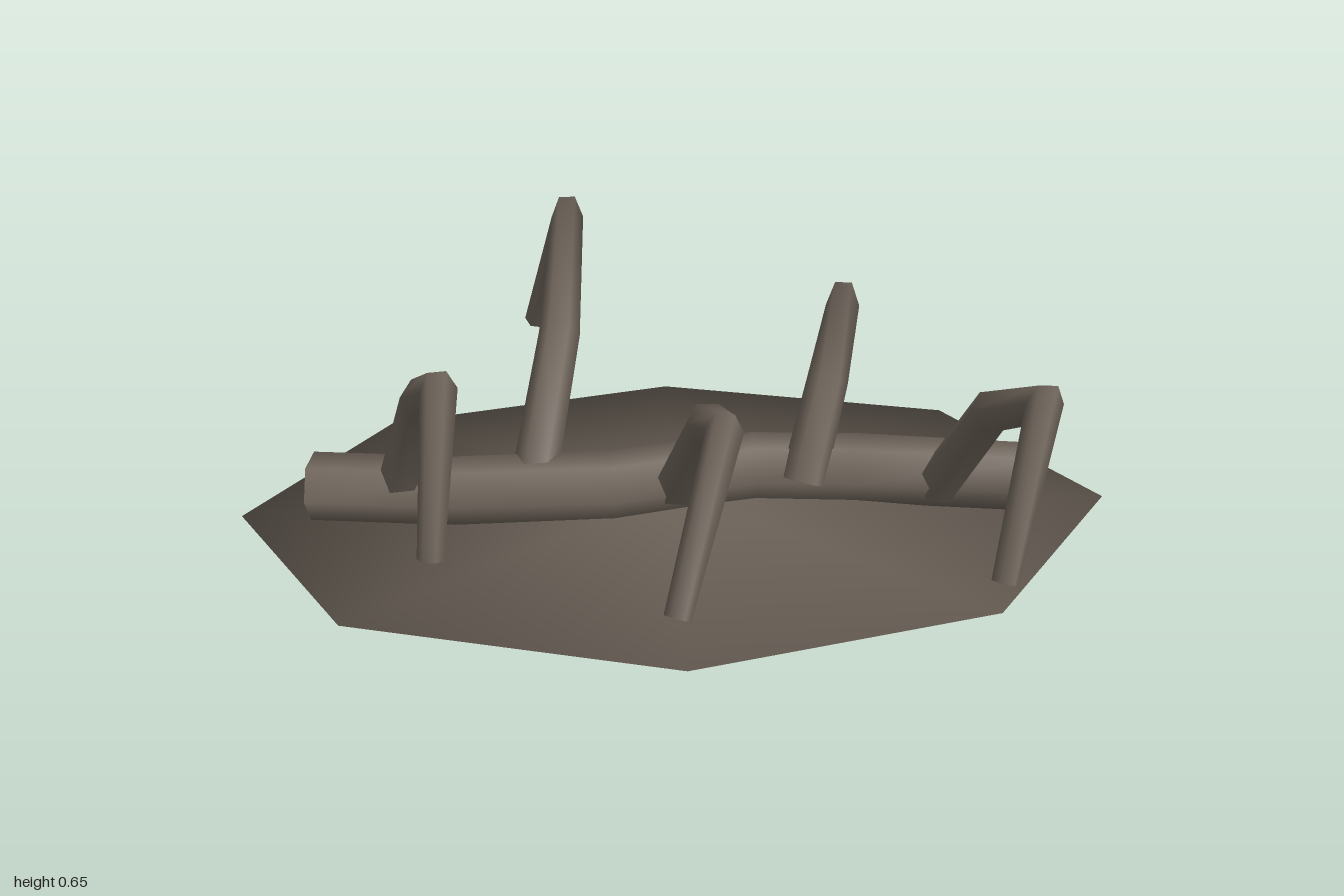
import * as THREE from 'three';

const SIDES = 6;

// Smooth-sided tapered tube along a bent path, with mitred joints and flat end caps.
function limb(points, radii, refAxis) {
  const path = points.map((p) => new THREE.Vector3(...p));
  const n = path.length;
  const rings = path.map((p, i) => {
    const a = path[Math.max(i - 1, 0)], b = path[Math.min(i + 1, n - 1)];
    const before = (i > 0 ? p.clone().sub(a) : b.clone().sub(p)).normalize();
    const after = (i < n - 1 ? b.clone().sub(p) : before.clone()).normalize();
    const t = before.clone().add(after).normalize();
    const u = refAxis.clone().addScaledVector(t, -refAxis.dot(t)).normalize();
    const v = t.clone().cross(u).divideScalar(Math.max(t.dot(before), 0.5));
    return Array.from({ length: SIDES }, (_, j) => {
      const ang = (j / SIDES) * Math.PI * 2;
      return p.clone()
        .addScaledVector(u, Math.cos(ang) * radii[i])
        .addScaledVector(v, Math.sin(ang) * radii[i]);
    });
  });

  const pos = [], idx = [];
  rings.forEach((ring) => ring.forEach((q) => pos.push(q.x, q.y, q.z)));
  for (let i = 0; i < n - 1; i++) {
    for (let j = 0; j < SIDES; j++) {
      const k = (j + 1) % SIDES;
      const a = i * SIDES + j, b = i * SIDES + k;
      idx.push(a, b, a + SIDES, b, b + SIDES, a + SIDES);
    }
  }
  // End caps use their own vertices so their edges stay sharp.
  [[rings[0], true], [rings[n - 1], false]].forEach(([ring, flip]) => {
    const s = pos.length / 3;
    ring.forEach((q) => pos.push(q.x, q.y, q.z));
    for (let j = 1; j < SIDES - 1; j++) {
      if (flip) idx.push(s, s + j + 1, s + j);
      else idx.push(s, s + j, s + j + 1);
    }
  });
  return indexed(pos, idx);
}

function indexed(pos, idx) {
  const g = new THREE.BufferGeometry();
  g.setAttribute('position', new THREE.Float32BufferAttribute(pos, 3));
  g.setIndex(idx);
  g.computeVertexNormals();
  return g;
}

// Thin eight-cornered lens with shared rim normals.
function lens(rim, top, bottom) {
  const pos = [...rim.flat(), ...top, ...bottom], idx = [];
  const n = rim.length;
  for (let i = 0; i < n; i++) {
    const k = (i + 1) % n;
    idx.push(i, k, n, k, i, n + 1);
  }
  return indexed(pos, idx);
}

export function createModel() {
  const model = new THREE.Group();
  const bark = new THREE.MeshStandardMaterial({ color: 0x6f655b });
  bark.name = 'grey brown bark';

  const add = (name, geometry) => {
    const mesh = new THREE.Mesh(geometry, bark);
    mesh.name = name;
    model.add(mesh);
  };

  // Ground mound
  add('groundMound', lens([
    [1, 0.065, -0.05], [0.69, 0.055, -0.51], [0, 0.045, -0.69], [-0.69, 0.055, -0.5],
    [-1, 0.06, -0.05], [-0.73, 0.055, 0.4], [0, 0.045, 0.58], [0.68, 0.055, 0.41],
  ], [0, 0.105, -0.05], [0, 0, -0.05]));

  // Fallen trunk
  add('trunk', limb([
    [-0.83, 0.14, -0.045], [-0.5, 0.145, 0], [-0.15, 0.152, 0.005],
    [0.18, 0.152, -0.07], [0.42, 0.147, -0.065], [0.83, 0.15, 0],
  ], [0.078, 0.078, 0.08, 0.08, 0.08, 0.078], new THREE.Vector3(0, 0, 1)));

  // Bent branches: root, elbow, peak, drooping tip
  const branches = [
    [[-0.62, 0.18, 0], [-0.55, 0.45, 0.13], [-0.49, 0.595, 0.37], [-0.52, 0.255, 0.465]],
    [[-0.32, 0.18, -0.02], [-0.26, 0.44, -0.2], [-0.24, 0.6, -0.51], [-0.33, 0.255, -0.67]],
    [[0, 0.15, 0.01], [0.06, 0.41, 0.19], [0.075, 0.56, 0.5], [-0.025, 0.24, 0.675]],
    [[0.29, 0.15, 0], [0.35, 0.36, -0.1], [0.39, 0.5, -0.2], [0.375, 0.23, -0.395]],
    [[0.6, 0.13, -0.01], [0.67, 0.42, 0.18], [0.715, 0.58, 0.45], [0.635, 0.25, 0.59]],
  ];
  const branchAxis = new THREE.Vector3(1, 0, 0);
  branches.forEach((path, i) => {
    add(`branch${i + 1}`, limb(path, [0.052, 0.047, 0.038, 0.028], branchAxis));
  });

  return model;
}
